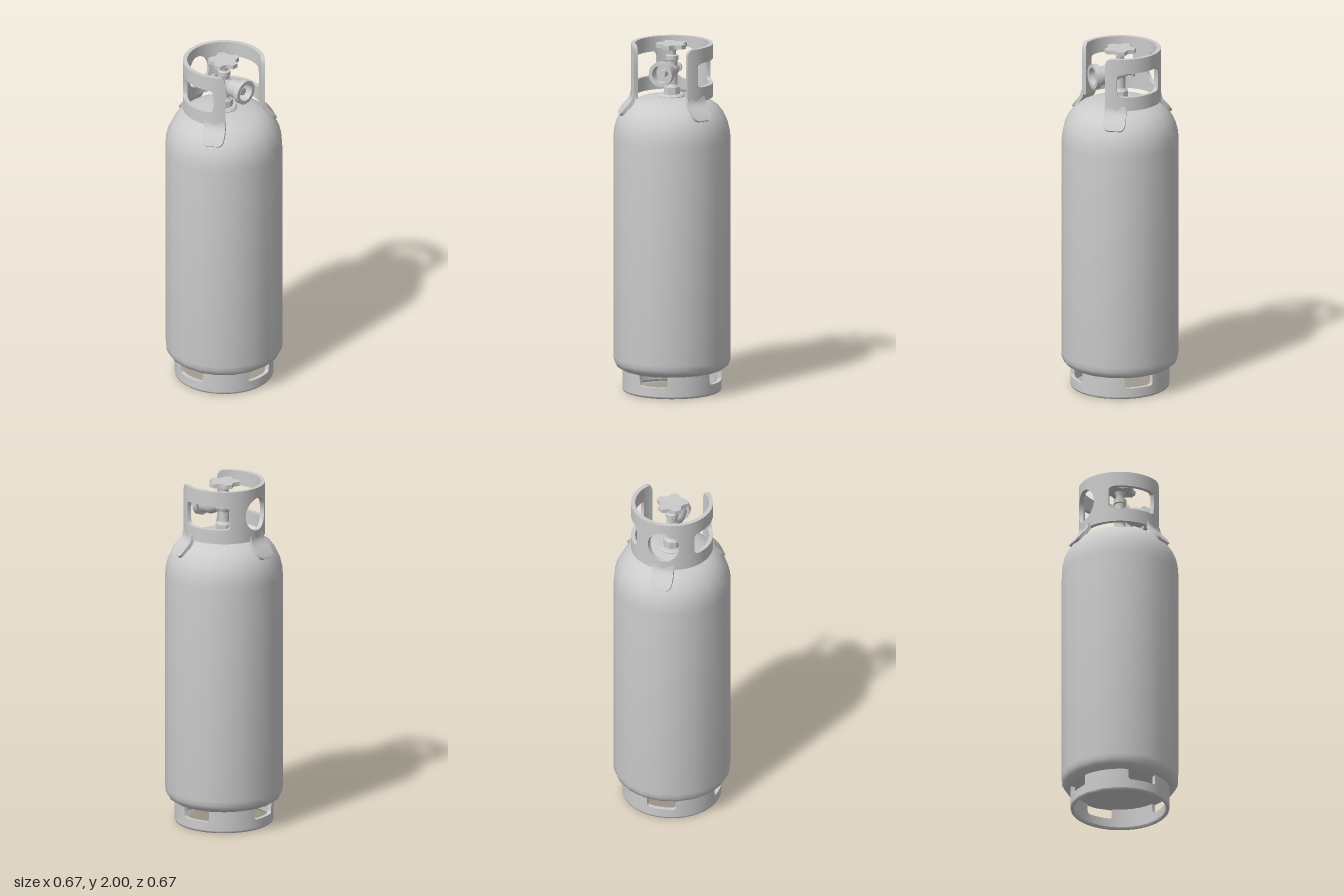
import * as THREE from 'three';
import { toCreasedNormals } from 'three/addons/utils/BufferGeometryUtils.js';

const material = new THREE.MeshStandardMaterial({ color: 0xcccccc });
const rad = THREE.MathUtils.degToRad;

function addPart(parent, name, geometry, crease = 0.6) {
  const mesh = new THREE.Mesh(toCreasedNormals(geometry, crease), material);
  mesh.name = name;
  parent.add(mesh);
  return mesh;
}

const lathe = (points, sides) =>
  new THREE.LatheGeometry(points.map(([r, y]) => new THREE.Vector2(r, y)), sides);

// Solid skinned over a row of four-cornered cross-sections
function loft(sections, capped = true) {
  const index = [], n = sections.length;
  for (let i = 0; i < n - 1; i++) {
    for (let k = 0; k < 4; k++) {
      const a = i * 4 + k, b = i * 4 + (k + 1) % 4;
      index.push(a, a + 4, b + 4, a, b + 4, b);
    }
  }
  const e = (n - 1) * 4;
  if (capped) index.push(0, 1, 2, 0, 2, 3, e, e + 2, e + 1, e, e + 3, e + 2);
  const g = new THREE.BufferGeometry();
  g.setAttribute('position', new THREE.Float32BufferAttribute(sections.flat(2), 3));
  g.setIndex(index);
  return g;
}

// Curved upright wall; lo and hi give its edges at each angle (degrees from the front)
function curvedWall(angles, rIn, rOut, lo, hi, capped) {
  return loft(angles.map((a) => {
    const s = Math.sin(rad(a)), c = Math.cos(rad(a));
    return [[rIn, lo(a)], [rOut, lo(a)], [rOut, hi(a)], [rIn, hi(a)]]
      .map(([r, y]) => [r * s, y, r * c]);
  }), capped);
}

// Half-height of the opening at an angle: a rounded rectangle or an oval
function opening(windows, a) {
  for (const { centre, half, height, power } of windows) {
    const t = Math.abs(a - centre) / half;
    if (t < 1) return height * Math.pow(1 - Math.pow(t, power), 1 / power);
  }
  return 0;
}

// Even angles plus extra ones gathered at the ends of each opening
function wallAngles(from, to, step, windows) {
  const list = [];
  for (let a = from; a <= to; a += step) list.push(a);
  for (const { centre, half } of windows)
    for (let k = 0; k <= 24; k++) list.push(centre + half * Math.cos(k * Math.PI / 24));
  return list.sort((a, b) => a - b).filter((a, i, l) => i === 0 || a - l[i - 1] > 1e-3);
}

function addFootRing(group) {
  const slots = [90, 180, 270, 360].map((centre) => ({ centre, half: 17.7, height: 0.07, power: 10 }));
  const angles = wallAngles(45, 405, 7.5, slots);
  addPart(group, 'footRing',
    curvedWall(angles, 0.258, 0.28, () => 0.012, (a) => 0.133 - opening(slots, a), false));
  // rounded lower lip
  addPart(group, 'footLip',
    lathe([[0.258, 0.014], [0.261, 0.004], [0.266, 0], [0.273, 0], [0.278, 0.004], [0.28, 0.014]], 48), 1);
}

function addCollar(group) {
  const collar = new THREE.Group();
  collar.name = 'collar';
  group.add(collar);
  const windows = [
    { centre: 98, half: 36, height: 0.07, power: 8 },
    { centre: 180, half: 23, height: 0.095, power: 2 },
    { centre: 262, half: 36, height: 0.07, power: 8 },
  ];
  const angles = wallAngles(45, 315, 2.5, windows);
  const middle = 1.845;
  // top corners rounded at the front gap
  const top = (a) => {
    const t = Math.max(0, 1 - Math.min(a - 45, 315 - a) / 9);
    return 2 - 0.036 * (1 - Math.sqrt(1 - t * t));
  };
  addPart(collar, 'collarLowerBand',
    curvedWall(angles, 0.208, 0.232, () => 1.695, (a) => middle - opening(windows, a)));
  addPart(collar, 'collarUpperBand',
    curvedWall(angles, 0.208, 0.232, (a) => middle + opening(windows, a), top));

  // Mounting tabs flaring out over the shoulder: outer radius, height, half width
  const path = [
    [0.23, 1.72, 0.06], [0.232, 1.7, 0.061], [0.24, 1.682, 0.062], [0.257, 1.662, 0.063],
    [0.276, 1.641, 0.063], [0.29, 1.622, 0.06], [0.299, 1.609, 0.052], [0.304, 1.6, 0.036],
  ];
  for (const [name, angle] of [['leftTab', 60], ['backTab', 180], ['rightTab', -60]]) {
    const sections = path.map(([r, y, w], i) => {
      const inner = [r - 0.018, y - 0.014 * Math.min(1, i / 3)];
      return [[-w, y, r], [w, y, r], [w, inner[1], inner[0]], [-w, inner[1], inner[0]]];
    });
    addPart(collar, name, loft(sections)).rotation.y = rad(angle);
  }
}

function addValve(group) {
  const valve = new THREE.Group();
  valve.name = 'valve';
  group.add(valve);
  addPart(valve, 'neckBoss',
    lathe([[0.075, 1.68], [0.075, 1.7], [0.066, 1.71], [0, 1.71]], 24));
  addPart(valve, 'neckNut',
    new THREE.CylinderGeometry(0.05, 0.05, 0.045, 8).translate(0, 1.728, 0));
  addPart(valve, 'stem', lathe([
    [0.043, 1.748], [0.03, 1.765], [0.03, 1.9], [0.036, 1.905], [0.036, 1.93],
    [0.022, 1.935], [0.022, 1.955], [0.032, 1.978], [0, 1.978],
  ], 16));

  // Outlet facing front with a hollow mouth, and relief plug at the back
  addPart(valve, 'outlet', lathe([
    [0, -0.083], [0.028, -0.083], [0.028, -0.07], [0.018, -0.068], [0.018, -0.035], [0.036, -0.02],
    [0.036, 0.025], [0.03, 0.04], [0.045, 0.058], [0.054, 0.08], [0.054, 0.14], [0.071, 0.14],
    [0.071, 0.17], [0.05, 0.17], [0.05, 0.11], [0.022, 0.11], [0.022, 0.15], [0, 0.15],
  ], 24).rotateX(Math.PI / 2).translate(0, 1.848, 0));

  // Five-lobed handwheel
  const wheel = new THREE.Shape();
  const points = [];
  for (let i = 0; i < 5; i++) {
    for (const [offset, r] of [[-22, 0.073], [-12, 0.09], [12, 0.09], [22, 0.073], [36, 0.065]]) {
      const a = rad(-90 + i * 72 + offset);
      points.push(new THREE.Vector2(r * Math.cos(a), r * Math.sin(a)));
    }
  }
  wheel.setFromPoints(points);
  addPart(valve, 'handwheel',
    new THREE.ExtrudeGeometry(wheel, { depth: 0.024, bevelEnabled: false })
      .rotateX(-Math.PI / 2).translate(0, 1.975, 0));
}

export function createModel() {
  const group = new THREE.Group();
  group.name = 'gasCylinder';

  // Tank body with rounded bottom edge and domed shoulder
  addPart(group, 'tank', lathe([
    [0, 0.122], [0.27, 0.122], [0.292, 0.13], [0.318, 0.148], [0.33, 0.172], [0.333, 0.2],
    [0.333, 1.45], [0.329, 1.5], [0.317, 1.55], [0.297, 1.593], [0.267, 1.633],
    [0.228, 1.662], [0.18, 1.682], [0.12, 1.694], [0, 1.698],
  ], 20), 0.7);

  addFootRing(group);
  addCollar(group);
  addValve(group);
  return group;
}
